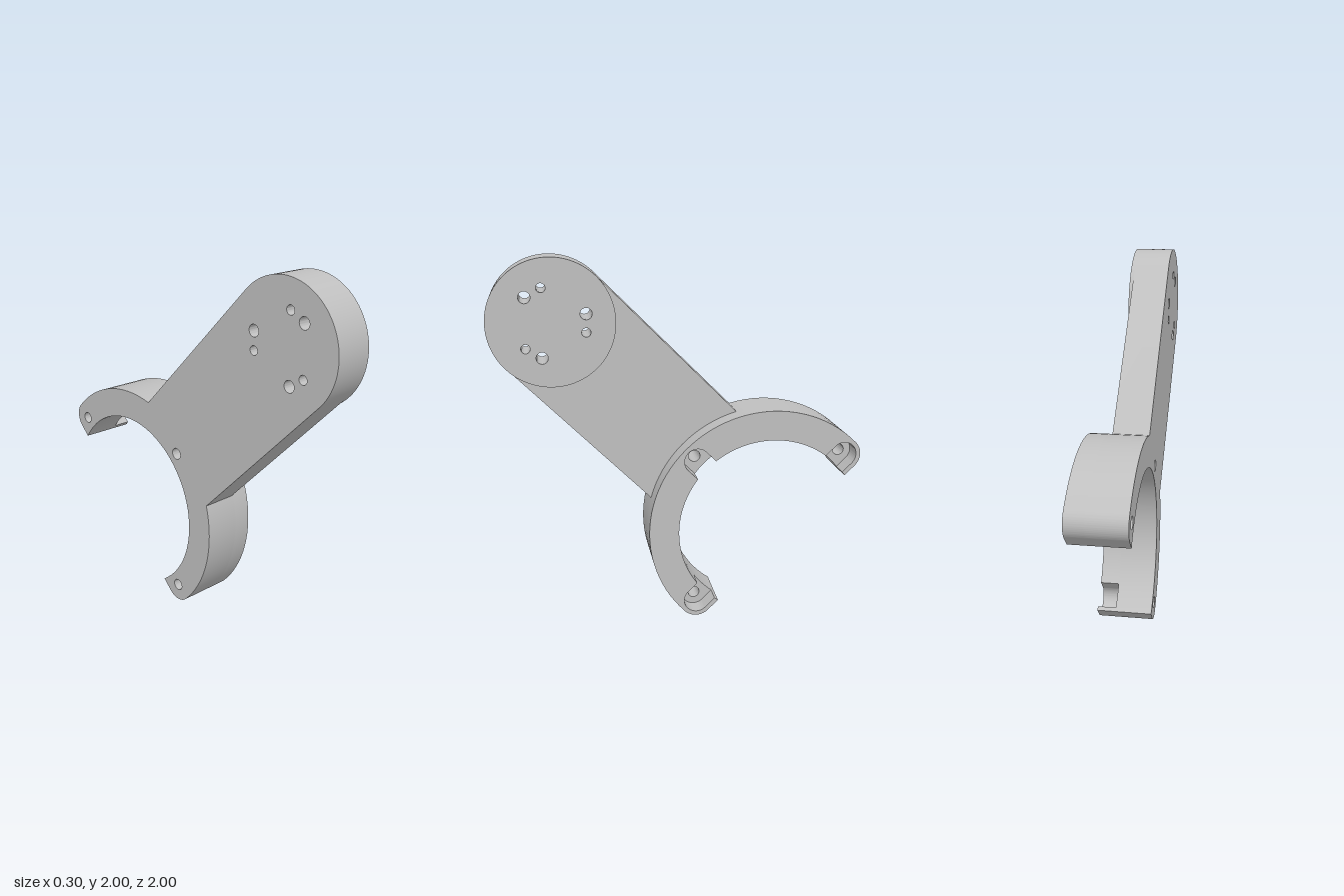
import * as THREE from 'three';
import { toCreasedNormals } from 'three/addons/utils/BufferGeometryUtils.js';

// Plan frame: clamp centre at the origin, arm pointing along +y.
const BACK = -0.152, ARM_TOP = 0.04, DISC_TOP = 0.06, POCKET_FLOOR = 0.05, CLAMP_TOP = 0.152;
const OUTER = 0.674, INNER = 0.51, BOLT_RING = 0.58, BOSS = 0.094, POCKET = 0.07;
const ARM_R = 0.335, ARM_LEN = 1.642;
const PI = Math.PI;
const BOLT_ANGLES = [PI, PI / 2, 0];

function circle(x, y, r) {
  return new THREE.Path().absarc(x, y, r, 0, 2 * PI, false);
}

// Two sets of three holes, each 120 degrees apart
function mountHoles() {
  const holes = [];
  for (let i = 0; i < 3; i++) {
    for (const [deg, r] of [[89, 0.031], [59, 0.024]]) {
      const a = (deg + 120 * i) * PI / 180;
      holes.push(circle(0.187 * Math.cos(a), ARM_LEN + 0.187 * Math.sin(a), r));
    }
  }
  return holes;
}

// C-shaped clamp with rounded ends; pockets open towards the bore
function clampShape(withPockets) {
  const d = Math.asin(BOSS / INNER), e = Math.asin(POCKET / INNER);
  const s = new THREE.Shape();
  s.moveTo(INNER * Math.cos(d), -BOSS);
  s.lineTo(BOLT_RING, -BOSS);
  s.absarc(BOLT_RING, 0, BOSS, -PI / 2, 0, false);
  s.absarc(0, 0, OUTER, 0, PI, false);
  s.absarc(-BOLT_RING, 0, BOSS, PI, 1.5 * PI, false);
  let from = PI + d;
  for (const a of BOLT_ANGLES) {
    const x = BOLT_RING * Math.cos(a), y = BOLT_RING * Math.sin(a);
    if (withPockets) {
      s.absarc(0, 0, INNER, from, a + e, true);
      s.absarc(x, y, POCKET, a + PI / 2, a - PI / 2, true);
      from = a - e;
    } else {
      s.holes.push(circle(x, y, 0.032));
    }
  }
  s.absarc(0, 0, INNER, from, -d, true);
  return s;
}

// Arm with a round head, its foot curved to meet the clamp
function armShape() {
  const r = OUTER - 0.004, a = Math.asin(ARM_R / r);
  const s = new THREE.Shape();
  s.moveTo(ARM_R, r * Math.cos(a));
  s.lineTo(ARM_R, ARM_LEN);
  s.absarc(0, ARM_LEN, ARM_R, 0, PI, false);
  s.lineTo(-ARM_R, r * Math.cos(a));
  s.absarc(0, 0, r, PI / 2 + a, PI / 2 - a, true);
  s.holes.push(...mountHoles());
  return s;
}

function discShape() {
  const s = new THREE.Shape();
  s.absarc(0, ARM_LEN, ARM_R, 0, 2 * PI, false);
  s.holes.push(...mountHoles());
  return s;
}

export function createModel() {
  const grey = new THREE.MeshStandardMaterial({ color: 0xbfbfbf });
  grey.name = 'grey';
  const model = new THREE.Group();
  model.name = 'clampBracket';

  function plate(name, shape, x0, x1, curveSegments) {
    const geo = new THREE.ExtrudeGeometry(shape, { depth: x1 - x0, bevelEnabled: false, curveSegments });
    geo.rotateZ(PI / 4);
    geo.translate(0.496, 0.504, x0);
    geo.rotateY(PI / 2); // thickness along x, plan x towards the back
    const mesh = new THREE.Mesh(toCreasedNormals(geo, 0.5), grey);
    mesh.name = name;
    model.add(mesh);
  }

  plate('clampBase', clampShape(false), BACK, POCKET_FLOOR, 24);
  plate('clampPocketWall', clampShape(true), POCKET_FLOOR, CLAMP_TOP, 24);
  plate('arm', armShape(), BACK, ARM_TOP, 24);
  plate('mountDisc', discShape(), ARM_TOP, DISC_TOP, 48);
  return model;
}
